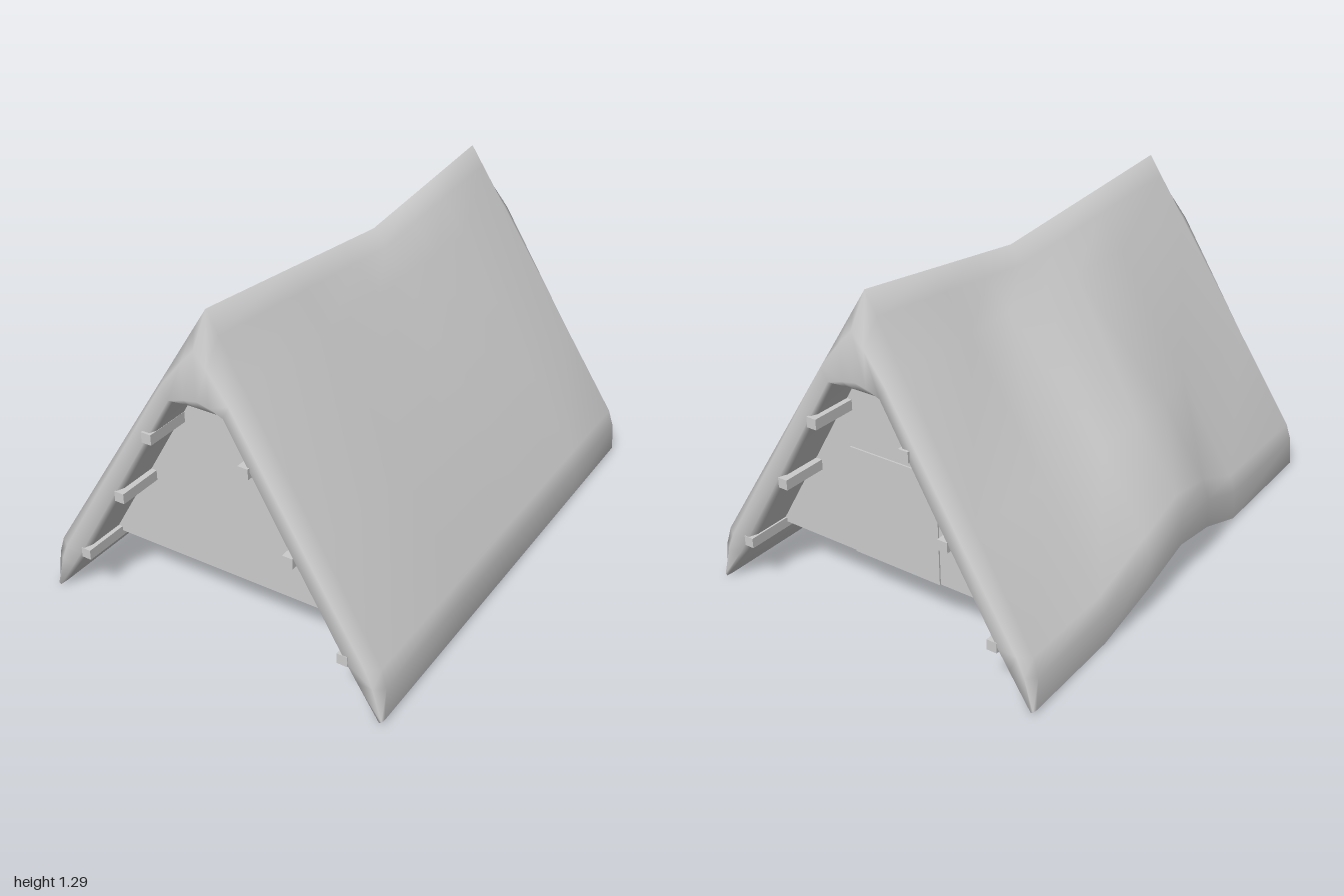
import * as THREE from 'three';

const MID = 0.017; // x of the ridge line

// Half cross-section, ridge to eave: outer skin and its matching inner skin
const OUTER = [[0, 1.29], [0.05, 1.21], [0.15, 1.05], [0.447, 0.577], [0.683, 0.2], [0.704, 0.13], [0.708, 0.01]];
const INNER = [[0, 0.96], [0.05, 0.96], [0.105, 0.96], [0.33, 0.577], [0.553, 0.2], [0.6, 0.13], [0.692, 0]];
const SAG = [1, 0.85, 0.05, 0, 0, 0, 0];     // how far each outer row follows the ridge sag
const BULGE = [[0, 0], [0, 0], [0, 0], [-0.1, 0.065], [-0.04, 0.19], [-0.045, 0.18], [-0.045, 0.18]];

// Where each row of the outer skin starts to round over, and where the rim ends
const OUTER_END = [0.905, 0.91, 0.92, 0.945, 0.965, 0.97, 0.985];
const RIM_END = [0.98, 0.983, 0.988, 0.995, 0.998, 0.998, 0.998];

// Stations along z with the strength of the warp on the -x slope
const STATIONS = [[-0.56, 0], [-0.33, 0.65], [-0.11, 1], [0.1, 0.82], [0.43, 0]];

const lerp = (a, b, t) => a + (b - a) * t;

function roofPoint(j, skin, z, warp, pull) {
  const i = Math.abs(j), side = Math.sign(j);
  const p = skin === 0 ? OUTER[i] : INNER[i], q = skin === 0 ? INNER[i] : OUTER[i];
  let x = MID + side * lerp(p[0], q[0], pull);
  let y = lerp(p[1], q[1], pull);
  if (skin === 0) {
    const span = z < -0.11 ? 0.795 : 1.015;
    y -= 0.09 * SAG[i] * Math.max(0, 1 - Math.abs(z + 0.11) / span);
  }
  if (side < 0) {
    x += BULGE[i][0] * Math.min(1, warp * 1.4);
    y += BULGE[i][1] * warp;
  }
  return [x, y, z];
}

// Thick roof shell: closed rings swept along z, with rounded, capped ends
function roofGeometry() {
  const cols = [];
  for (let j = -6; j <= 6; j++) cols.push([j, 0]);
  for (let j = 6; j >= -6; j--) cols.push([j, 1]);
  const n = cols.length, pos = [], idx = [];
  const addRing = (f) => cols.forEach(([j, s]) => pos.push(...f(j, s)));
  const rim = (dir) => addRing((j, s) =>
    roofPoint(j, s, dir * RIM_END[Math.abs(j)], 0, s === 0 ? 0.35 : 0.1));
  const shoulder = (dir) => addRing((j, s) =>
    roofPoint(j, s, dir * (s === 0 ? OUTER_END[Math.abs(j)] : 0.965), 0, 0));

  rim(-1);
  shoulder(-1);
  STATIONS.forEach(([z, w]) => addRing((j, s) => roofPoint(j, s, z, w, 0)));
  shoulder(1);
  rim(1);

  const rings = STATIONS.length + 4;
  for (let s = 0; s < rings - 1; s++) {
    for (let k = 0; k < n; k++) {
      const a = s * n + k, b = s * n + (k + 1) % n;
      idx.push(a, a + n, b + n, a, b + n, b);
    }
  }
  // End caps between outer and inner skins
  const last = (rings - 1) * n;
  for (let k = 0; k < 12; k++) {
    const o0 = k, o1 = k + 1, i0 = n - 1 - k, i1 = n - 2 - k;
    idx.push(last + i0, last + i1, last + o1, last + i0, last + o1, last + o0);
    idx.push(i0, o1, i1, i0, o0, o1);
  }
  const g = new THREE.BufferGeometry();
  g.setAttribute('position', new THREE.Float32BufferAttribute(pos, 3));
  g.setIndex(idx);
  g.computeVertexNormals();
  return g;
}

export function createModel() {
  const group = new THREE.Group();
  const material = new THREE.MeshStandardMaterial({ color: 0xcccccc });
  const panelMaterial = new THREE.MeshStandardMaterial({ color: 0xcccccc, side: THREE.DoubleSide });
  const add = (name, geometry, mat = material) => {
    const mesh = new THREE.Mesh(geometry, mat);
    mesh.name = name;
    group.add(mesh);
    return mesh;
  };

  add('roofShell', roofGeometry());

  // Gable panels set back from each end
  const corners = [[0.555, 0.205], [0.104, 0.965], [-0.104, 0.965], [-0.555, 0.205]];
  const gable = new THREE.ShapeGeometry(
    new THREE.Shape(corners.map(([x, y]) => new THREE.Vector2(MID + x, y))));
  add('frontGable', gable, panelMaterial).position.z = 0.82;
  add('backGable', gable, panelMaterial).position.z = -0.82;

  // Thin door on the rear gable
  add('backDoor', new THREE.BoxGeometry(0.38, 0.43, 0.012)).position.set(0.012, 0.42, -0.82);

  // Purlin ends poking through both gables: centre x, half spacing, height
  const beam = new THREE.BoxGeometry(0.04, 0.04, 0.45);
  for (const end of [-1, 1]) {
    for (const side of [-1, 1]) {
      for (const [cx, half, y] of [[0.007, 0.196, 0.8], [0.015, 0.35, 0.515], [0.022, 0.547, 0.203]]) {
        add('purlin', beam).position.set(cx + side * half, y, end * 0.775);
      }
    }
  }
  return group;
}
